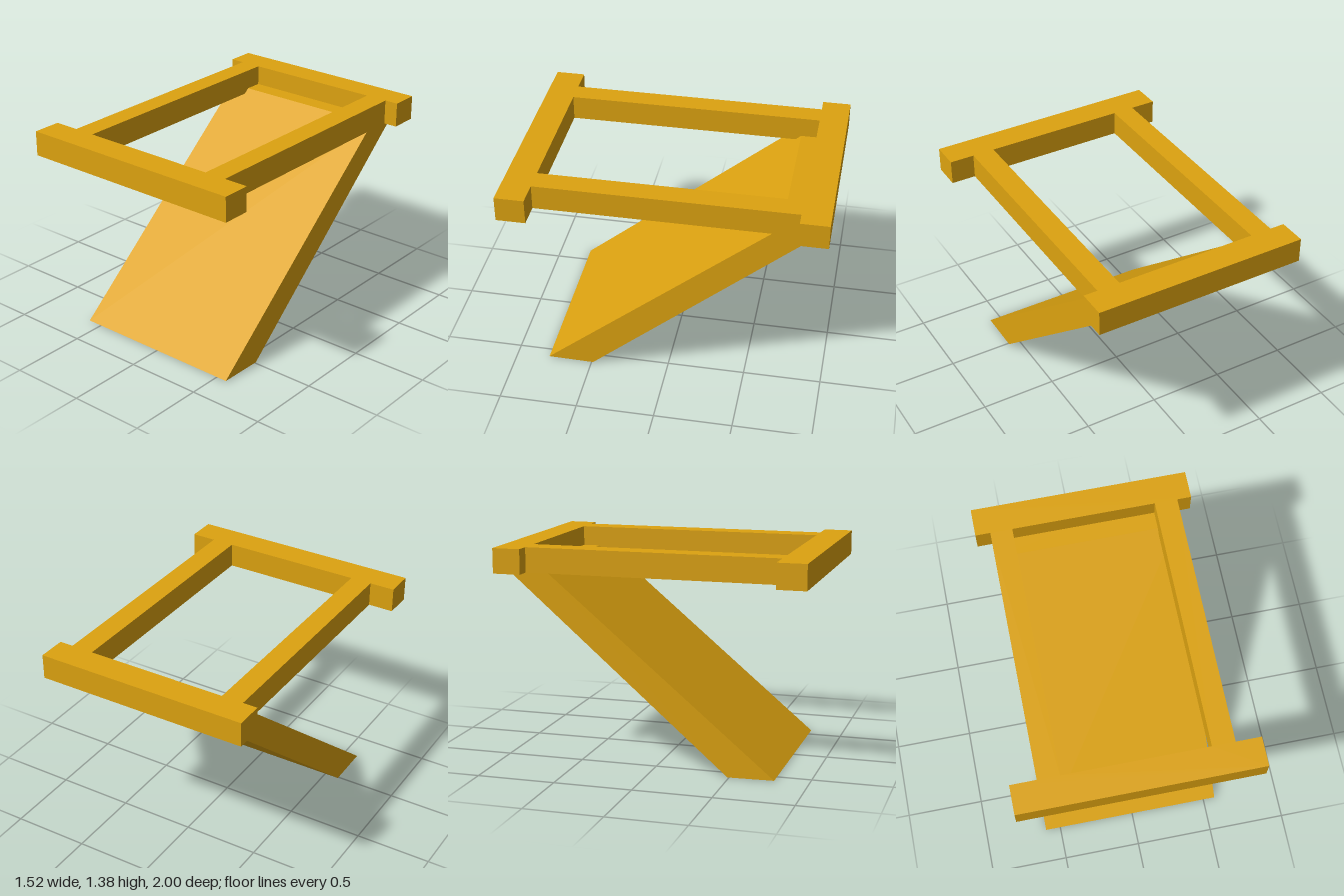
import * as THREE from 'three';

// Closed 2D outline from a short list of points
const outline = (points, Type = THREE.Shape) =>
  new Type(points.map(([a, b]) => new THREE.Vector2(a, b)));

const extrude = (shape, depth) =>
  new THREE.ExtrudeGeometry(shape, { depth, bevelEnabled: false });

export function createModel() {
  const model = new THREE.Group();
  model.name = 'slantedStand';

  const ochre = new THREE.MeshStandardMaterial({ color: 0xdca210 });
  ochre.name = 'ochre';

  const add = (name, geometry) => {
    const mesh = new THREE.Mesh(geometry, ochre);
    mesh.name = name;
    model.add(mesh);
  };

  // Flat open frame: two side rails joined by overhanging end rails, drawn in x and z
  const frame = outline([
    [-0.695, -1], [0.69, -1], [0.69, -0.82], [0.6, -0.82],
    [0.6, 0.815], [0.76, 0.815], [0.76, 1], [-0.765, 1],
    [-0.765, 0.815], [-0.6, 0.815], [-0.6, -0.82], [-0.695, -0.82],
  ]);
  frame.holes.push(outline([
    [-0.46, -0.82], [-0.46, 0.815], [0.455, 0.815], [0.455, -0.82],
  ], THREE.Path));
  add('topFrame', extrude(frame, 0.16).rotateX(Math.PI / 2).translate(0, 1.38, 0));

  // Sloping slab: side profile drawn in z and y, its top set into the frame
  const slab = outline([
    [0.49, 0], [0.785, 0.005], [-0.707, 1.25], [-0.96, 1.25],
  ]);
  add('slopingSlab', extrude(slab, 1.175).rotateY(-Math.PI / 2).translate(0.577, 0, 0));

  return model;
}
